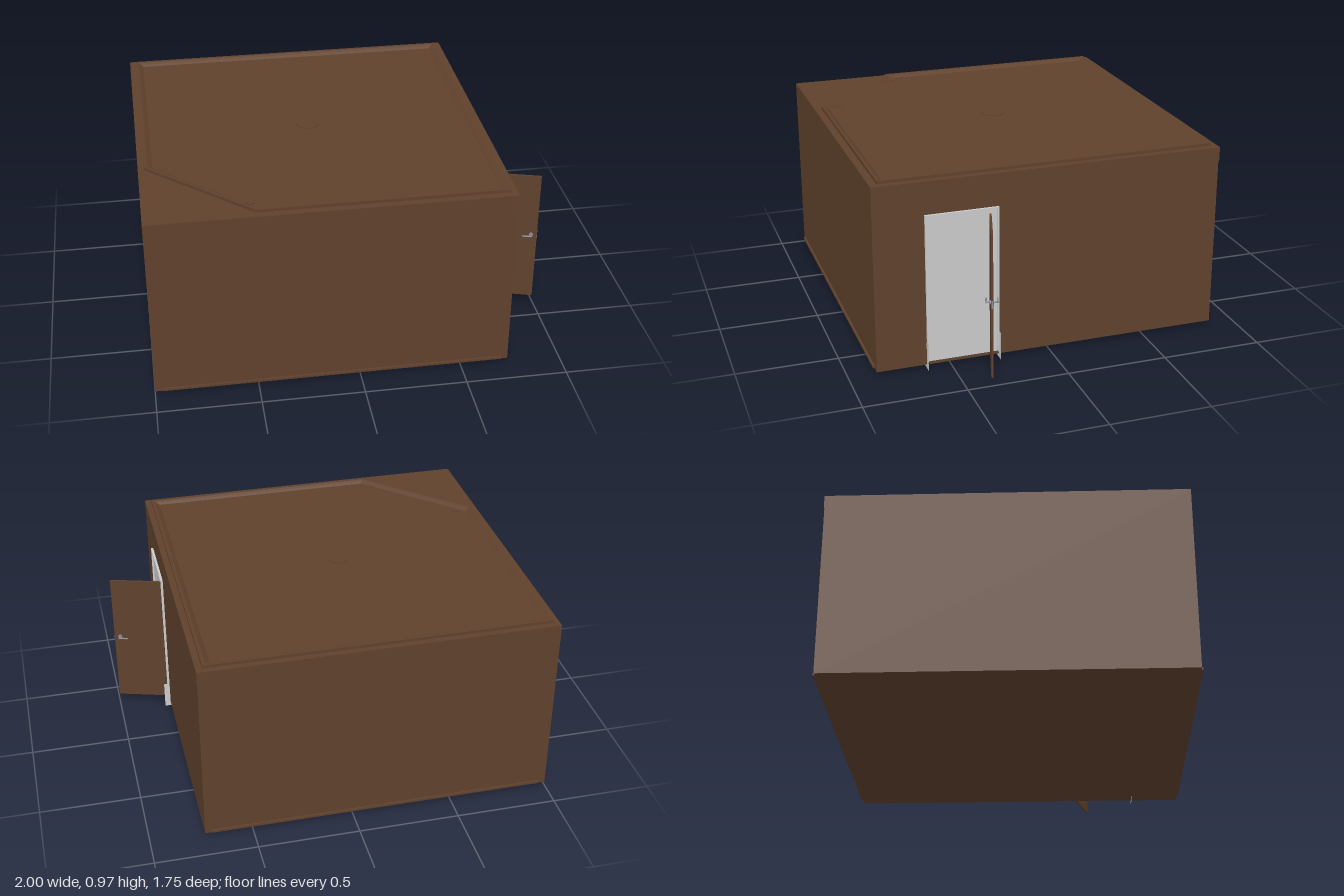
import * as THREE from 'three';

const brown = new THREE.MeshStandardMaterial({ color: 0x60412c });
const brownOpen = new THREE.MeshStandardMaterial({ color: 0x60412c, side: THREE.DoubleSide, flatShading: true });
const grey = new THREE.MeshStandardMaterial({ color: 0xcccccc });
const greyThin = new THREE.MeshStandardMaterial({ color: 0xcccccc, side: THREE.DoubleSide });
const metal = new THREE.MeshStandardMaterial({ color: 0x8a8a98 });

// Box given by its minimum and maximum on each axis
function box(name, [x0, x1], [y0, y1], [z0, z1], material = brown) {
  const mesh = new THREE.Mesh(new THREE.BoxGeometry(x1 - x0, y1 - y0, z1 - z0), material);
  mesh.position.set((x0 + x1) / 2, (y0 + y1) / 2, (z0 + z1) / 2);
  mesh.name = name;
  return mesh;
}

function cylinder(name, radius, height, material, sides = 20) {
  const mesh = new THREE.Mesh(new THREE.CylinderGeometry(radius, radius, height, sides), material);
  mesh.name = name;
  return mesh;
}

// Moulding around the ceiling: a small profile swept between two outlines
function createMoulding() {
  const outer = [[-0.97, -0.84], [0.705, -0.84], [0.705, 0.83], [-0.485, 0.83], [-0.97, 0.36]];
  const inner = [[-0.93, -0.8], [0.665, -0.8], [0.665, 0.795], [-0.47, 0.795], [-0.93, 0.345]];
  const profile = [[0, 0.95], [0, 0.966], [0.4, 0.966], [0.7, 0.959], [1, 0.951]];
  const n = outer.length;
  const positions = [];
  const index = [];
  for (const [t, y] of profile) {
    for (let i = 0; i < n; i++) {
      positions.push(
        THREE.MathUtils.lerp(outer[i][0], inner[i][0], t), y,
        THREE.MathUtils.lerp(outer[i][1], inner[i][1], t));
    }
  }
  for (let k = 0; k < profile.length - 1; k++) {
    for (let i = 0; i < n; i++) {
      const a = k * n + i, b = k * n + (i + 1) % n;
      index.push(a, a + n, b, b, a + n, b + n);
    }
  }
  const indexed = new THREE.BufferGeometry();
  indexed.setAttribute('position', new THREE.Float32BufferAttribute(positions, 3));
  indexed.setIndex(index);
  const geometry = indexed.toNonIndexed();
  geometry.computeVertexNormals();
  const mesh = new THREE.Mesh(geometry, brownOpen);
  mesh.name = 'ceilingMoulding';
  return mesh;
}

// Open door, built along +x from its hinge
function createDoor() {
  const door = new THREE.Group();
  door.name = 'door';
  const width = 0.265;
  door.add(box('doorLeaf', [0, width], [0.04, 0.757], [-0.005, 0.005]));
  for (const side of [-1, 1]) {
    const rose = cylinder('handleRose', 0.011, 0.004, metal);
    rose.rotation.x = Math.PI / 2;
    rose.position.set(width - 0.03, 0.415, side * 0.007);
    const stem = cylinder('handleStem', 0.004, 0.022, metal, 12);
    stem.rotation.x = Math.PI / 2;
    stem.position.set(width - 0.03, 0.415, side * 0.016);
    const lever = cylinder('handleLever', 0.004, 0.048, metal, 12);
    lever.rotation.z = Math.PI / 2;
    lever.position.set(width - 0.05, 0.415, side * 0.027);
    door.add(rose, stem, lever);
  }
  door.add(box('latchPlate', [width, width + 0.001], [0.395, 0.435], [-0.003, 0.003], metal));
  door.position.set(0.743, 0, 0.303);
  door.rotation.y = -Math.atan2(0.077, 0.255);
  return door;
}

export function createModel() {
  const model = new THREE.Group();
  model.name = 'room';

  // Room shell with a slightly proud upper band on the right and back walls
  model.add(box('roomShell', [-1, 0.735], [0.02, 0.95], [-0.867, 0.867]));
  model.add(box('upperBand', [-0.999, 0.737], [0.88, 0.951], [-0.87, 0.866]));

  // Skirting along the front and back
  for (const side of [-1, 1]) {
    const z = side * 0.87;
    model.add(box('skirting', [-0.965, 0.7], [0.025, 0.037], [z - 0.007, z + 0.007]));
  }

  // Ceiling details
  model.add(createMoulding());
  const rose = cylinder('ceilingRose', 0.058, 0.008, brown, 32);
  rose.position.set(-0.135, 0.951, 0);
  model.add(rose);
  for (const [x, z] of [[-0.88, 0.36], [-0.5, 0.74]]) {
    const fitting = cylinder('ceilingFitting', 0.018, 0.006, brown, 16);
    fitting.position.set(x, 0.952, z);
    model.add(fitting);
  }

  // Doorway panel and frame
  model.add(box('doorwayPanel', [0.72, 0.738], [0.037, 0.785], [0.262, 0.618], grey));
  model.add(box('frameHead', [0.72, 0.747], [0.777, 0.787], [0.26, 0.62], grey));
  for (const z of [0.26, 0.613]) {
    model.add(box('frameJamb', [0.72, 0.747], [0.037, 0.787], [z, z + 0.007], grey));
  }

  // Thin foot plates at both jambs
  for (const z of [0.259, 0.621]) {
    const foot = new THREE.Mesh(new THREE.PlaneGeometry(0.135, 0.142), greyThin);
    foot.name = 'framePlate';
    foot.position.set(0.6975, 0.071, z);
    model.add(foot);
  }

  model.add(createDoor());
  return model;
}
